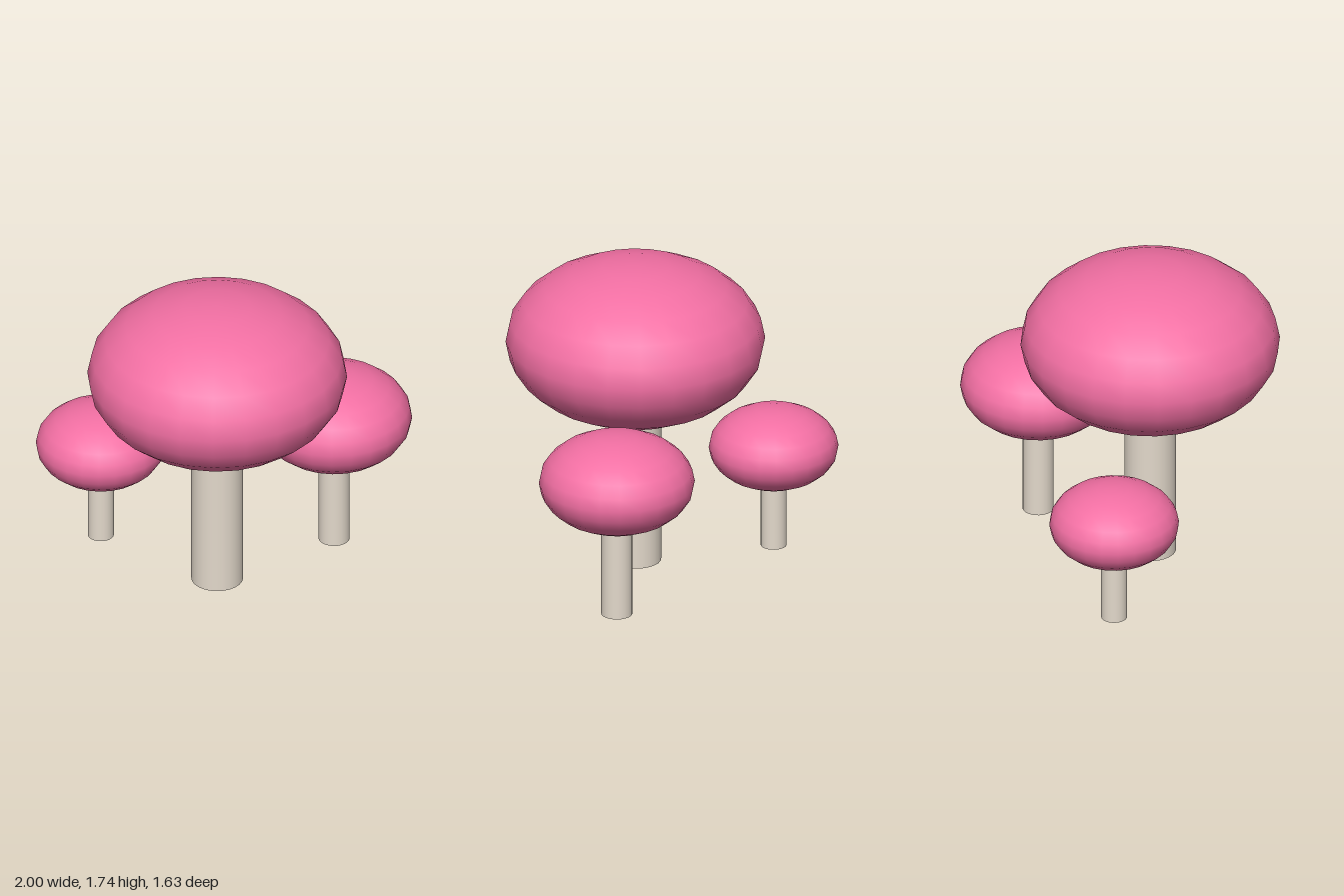
import * as THREE from 'three';

const capMaterial = new THREE.MeshStandardMaterial({ color: 0xf26fa3 });
const trunkMaterial = new THREE.MeshStandardMaterial({ color: 0xe3d9cb });

// One tree: a straight round trunk under a flattened, smooth crown
function makeTree(name, { x, z, radius, crownHeight, crownY }) {
  const tree = new THREE.Group();
  tree.name = name;
  tree.position.set(x, 0, z);

  // Trunk runs up to the middle of the crown
  const trunkRadius = radius * 0.2;
  const trunk = new THREE.Mesh(
    new THREE.CylinderGeometry(trunkRadius, trunkRadius, crownY, 24),
    trunkMaterial
  );
  trunk.name = 'trunk';
  trunk.position.y = crownY / 2;

  // Crown
  const crown = new THREE.Mesh(new THREE.SphereGeometry(1, 24, 12), capMaterial);
  crown.name = 'crown';
  crown.scale.set(radius, crownHeight / 2, radius);
  crown.position.y = crownY;

  tree.add(trunk, crown);
  return tree;
}

export function createModel() {
  const model = new THREE.Group();
  model.name = 'treeCluster';
  model.add(
    makeTree('largeTree', { x: -0.135, z: 0.11, radius: 0.704, crownHeight: 0.887, crownY: 1.293 }),
    makeTree('mediumTree', { x: 0.575, z: -0.147, radius: 0.423, crownHeight: 0.532, crownY: 0.776 }),
    makeTree('smallTree', { x: -0.648, z: -0.467, radius: 0.352, crownHeight: 0.443, crownY: 0.582 })
  );
  return model;
}
